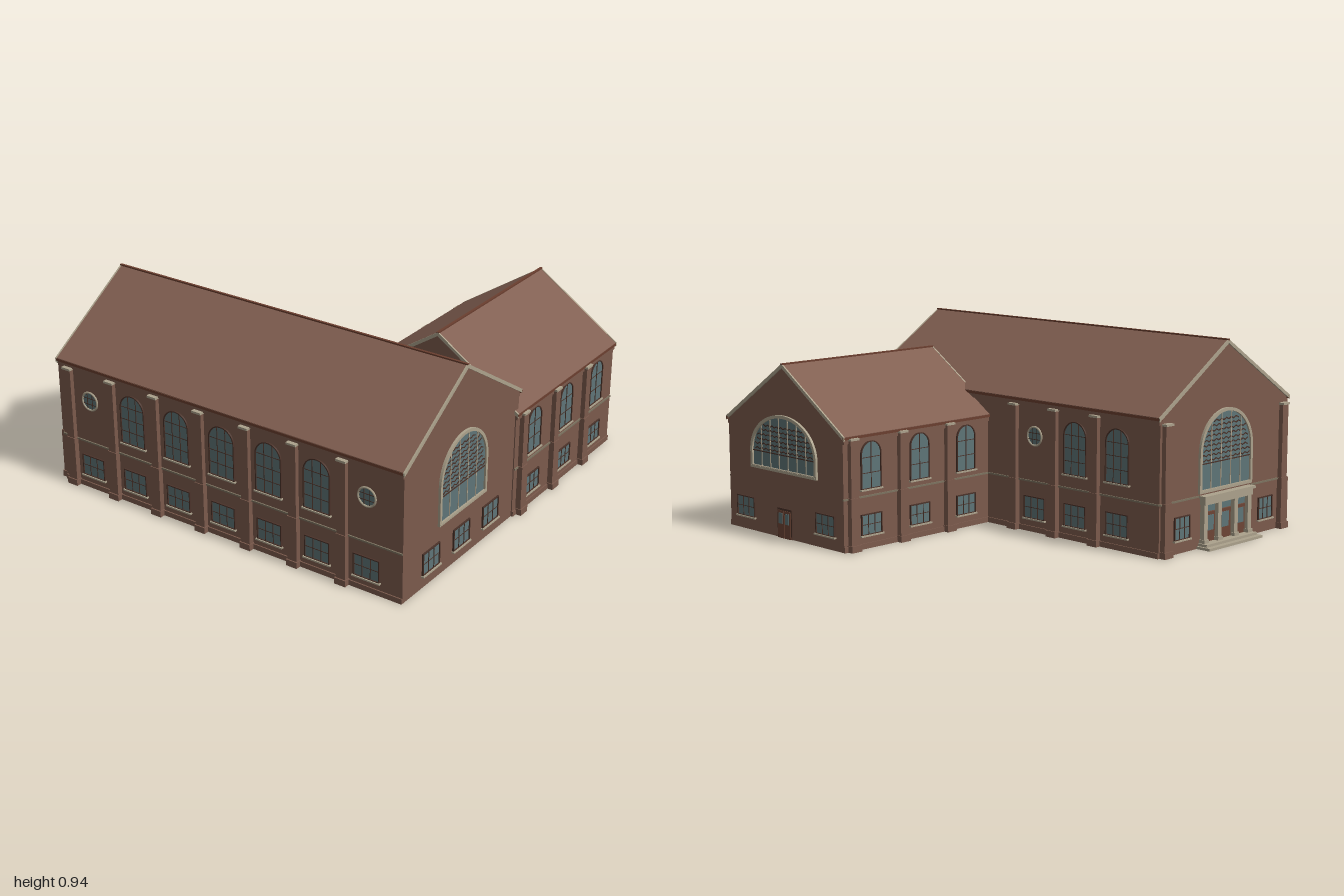
import * as THREE from 'three';

const mat = (name, color) => {
  const m = new THREE.MeshStandardMaterial({ color });
  m.name = name;
  return m;
};

export function createModel() {
  const M = {
    brick: mat('brick', 0x7b5a4c),
    roof: mat('roof', 0x805e50),
    frame: mat('frame', 0x4a3229),
    ridge: mat('ridge', 0x6b3f2f),
    stone: mat('stone', 0xaca28c),
    band: mat('band', 0x7d7360),
    glass: mat('glass', 0x5e7477),
    door: mat('door', 0x6d4535),
  };
  const root = new THREE.Group();
  root.name = 'hall';

  const add = (parent, name, geo, material, x = 0, y = 0, z = 0) => {
    const m = new THREE.Mesh(geo, material);
    m.name = name;
    m.position.set(x, y, z);
    parent.add(m);
    return m;
  };
  // box standing on y, with its back on z
  const box = (parent, name, material, w, h, d, x, y, z = 0) =>
    add(parent, name, new THREE.BoxGeometry(w, h, d), material, x, y + h / 2, z + d / 2);
  const extrude = (shape, depth) =>
    new THREE.ExtrudeGeometry(shape, { depth, bevelEnabled: false, curveSegments: 20 });
  const poly = (pts) => new THREE.Shape(pts.map(([x, y]) => new THREE.Vector2(x, y)));

  // ---- gabled blocks, running along local z ----
  function block(name, half, eave, top, length, over) {
    const g = new THREE.Group();
    g.name = name;
    const rise = top - eave;
    const chevron = (h, lift, t) => {
      const e = eave - (rise / half) * (h - half) + lift, r = top + lift;
      return poly([[-h, e - t], [0, r - t], [h, e - t], [h, e], [0, r], [-h, e]]);
    };
    add(g, 'walls', extrude(poly([[-half, 0], [half, 0], [half, eave - 0.012], [0, top - 0.012], [-half, eave - 0.012]]), length), M.brick);
    add(g, 'roof', extrude(chevron(half + 0.012, 0, 0.014), length + 2 * over - 0.006), M.roof, 0, 0, -over + 0.003);
    // stone rakes on both gables
    for (const z of [-over, length + over - 0.008])
      add(g, 'gableTrim', extrude(chevron(half + 0.014, 0.001, 0.018), 0.008), M.stone, 0, 0, z);
    box(g, 'ridgeCap', M.ridge, 0.012, 0.008, length + 2 * over, 0, top - 0.005, -over);
    for (const s of [-1, 1]) {
      box(g, 'gutter', M.ridge, 0.014, 0.012, length + 2 * over, s * (half + 0.007), eave - 0.022, -over);
      box(g, 'cornice', M.brick, 0.01, 0.02, length, s * (half + 0.003), eave - 0.042, 0);
      box(g, 'plinth', M.brick, 0.012, 0.025, length, s * half, 0, 0);
    }
    root.add(g);
    return g;
  }
  const hall = block('mainHall', 0.46, 0.637, 0.932, 1.89, 0.01);
  hall.rotation.y = Math.PI / 2;
  hall.position.set(-0.925, 0, 0.437);
  const wing = block('wing', 0.415, 0.533, 0.81, 0.925, 0.007);
  wing.position.set(0.555, 0, -0.922);

  // ---- facade parts: x along the wall, y up, z outward ----
  const facade = (name, x, z, turn) => {
    const g = new THREE.Group();
    g.name = name;
    g.position.set(x, 0, z);
    g.rotation.y = turn * Math.PI / 2;
    root.add(g);
    return g;
  };
  const archShape = (w, h, rise, grow = 0) => {
    const a = w / 2 + grow, s = new THREE.Shape();
    s.moveTo(-a, -grow);
    s.lineTo(a, -grow);
    s.lineTo(a, h - rise);
    if (rise > 0) s.absellipse(0, h - rise, a, rise + grow, 0, Math.PI, false);
    else { s.lineTo(a, h + grow); s.lineTo(-a, h + grow); }
    s.closePath();
    return s;
  };
  // half width of an arch at height y, and its height at offset u
  const halfAt = (w, h, r, y) => y <= h - r ? w / 2 : w / 2 * Math.sqrt(Math.max(0, 1 - ((y - h + r) / r) ** 2));
  const heightAt = (w, h, r, u) => h - r + r * Math.sqrt(Math.max(0, 1 - (2 * u / w) ** 2));

  function pane(parent, name, x, y, w, h, rise, cols, rows, o = {}) {
    const g = new THREE.Group();
    g.name = name;
    g.position.set(x, y, 0);
    parent.add(g);
    const t = o.trim ?? 0.004, bar = o.bar ?? 0.003;
    add(g, 'glass', new THREE.ShapeGeometry(archShape(w, h, rise), 20), M.glass, 0, 0, 0.003);
    const rim = archShape(w, h, rise, t);
    rim.holes.push(archShape(w, h, rise, -0.001));
    add(g, 'surround', extrude(rim, o.trim ? 0.012 : 0.008), o.trim ? M.stone : M.frame);
    for (let i = 1; i < cols; i++) {
      const u = -w / 2 + w * i / cols;
      box(g, 'mullion', o.trim ? M.stone : M.frame, bar, heightAt(w, h, rise, u), 0.006, u, 0);
    }
    for (let j = 1; j < rows; j++) {
      const v = h * j / rows;
      box(g, 'glazingBar', M.frame, 2 * halfAt(w, h, rise, v), 0.003, 0.005, 0, v - 0.0015);
    }
    if (o.sill !== false) box(g, 'sill', M.stone, w + 0.018, 0.007, 0.014, 0, -0.009);
    return g;
  }
  const lowWindow = (p, x, w = 0.125, h = 0.1) => pane(p, 'lowerWindow', x, 0.065, w, h, 0, 3, 2);

  // large gable window with wavy tracery in its upper half
  function greatWindow(p, x, y, w, h, rise, cols, from) {
    const g = pane(p, 'greatWindow', x, y, w, h, rise, cols, 1, { trim: 0.014, bar: 0.005 });
    const step = w / cols / 4;
    for (let v = from, row = 0; v < h - 0.03; v += 0.022, row++)
      for (let i = 0; i < cols * 4; i++) {
        const u = -w / 2 + step * (i + 0.5);
        if (Math.abs(u) + step / 2 > halfAt(w, h, rise, v + 0.01)) continue;
        const b = box(g, 'tracery', M.frame, step * 1.15, 0.005, 0.005, u, v);
        b.rotation.z = (i + row) % 2 ? 0.45 : -0.45;
      }
    box(g, 'transom', M.frame, w, 0.005, 0.006, 0, from - 0.014);
  }
  function roundWindow(p, x, y, r) {
    const g = new THREE.Group();
    g.name = 'roundWindow';
    g.position.set(x, y, 0);
    p.add(g);
    add(g, 'glass', new THREE.CircleGeometry(r, 28), M.glass, 0, 0, 0.003);
    add(g, 'surround', new THREE.TorusGeometry(r, 0.005, 6, 28), M.stone, 0, 0, 0.003);
    for (const u of [-r / 3, r / 3]) {
      const l = 2 * Math.sqrt(r * r - u * u);
      box(g, 'mullion', M.frame, 0.003, l, 0.005, u, -l / 2);
      box(g, 'glazingBar', M.frame, l, 0.003, 0.005, 0, u - 0.0015);
    }
  }
  function pilaster(p, x, h) {
    const g = new THREE.Group();
    g.name = 'pilaster';
    g.position.x = x;
    p.add(g);
    box(g, 'foot', M.brick, 0.058, 0.03, 0.032, 0, 0);
    box(g, 'lowerShaft', M.brick, 0.05, 0.215, 0.026, 0, 0.03);
    box(g, 'shaft', M.brick, 0.042, h - 0.255, 0.022, 0, 0.245);
    box(g, 'cap', M.stone, 0.05, 0.01, 0.028, 0, h - 0.01);
  }
  const band = (p, x0, x1) => box(p, 'stringCourse', M.band, x1 - x0, 0.008, 0.006, (x0 + x1) / 2, 0.236);

  // front of the hall
  const front = facade('frontFacade', 0, 0.897, 0);
  band(front, -0.925, 0.965);
  for (let i = 0; i < 7; i++) {
    const x = -0.745 + i * 0.255;
    pilaster(front, -0.863 + i * 0.255, 0.6);
    lowWindow(front, x);
    if (i % 6) pane(front, 'archedWindow', x, 0.307, 0.132, 0.242, 0.067, 3, 4);
    else roundWindow(front, x, 0.455, 0.044);
  }

  // back of the hall, beside the wing (x runs backwards)
  const back = facade('backFacade', 0, -0.023, 2);
  band(back, -0.14, 0.925);
  for (let i = 0; i < 3; i++) {
    const x = 0.172 + i * 0.255;
    pilaster(back, 0.045 + i * 0.255, 0.6);
    lowWindow(back, x);
    if (i) pane(back, 'archedWindow', x, 0.307, 0.132, 0.242, 0.067, 3, 4);
    else roundWindow(back, x, 0.455, 0.044);
  }

  // left gable of the hall
  const leftGable = facade('leftGable', 0.965, 0.44, 1);
  greatWindow(leftGable, 0, 0.26, 0.355, 0.35, 0.18, 5, 0.13);
  for (const x of [-0.243, 0, 0.243]) lowWindow(leftGable, x);

  // entrance gable
  const entry = facade('entranceGable', -0.925, 0.437, -1);
  greatWindow(entry, 0, 0.265, 0.355, 0.345, 0.18, 5, 0.13);
  for (const s of [-1, 1]) {
    pilaster(entry, s * 0.425, 0.6);
    lowWindow(entry, s * 0.305, 0.1);
    band(entry, s < 0 ? -0.46 : 0.19, s < 0 ? -0.19 : 0.46);
  }
  const portal = new THREE.Group();
  portal.name = 'portal';
  entry.add(portal);
  box(portal, 'lowerStep', M.stone, 0.39, 0.012, 0.075, 0, 0);
  box(portal, 'upperStep', M.stone, 0.37, 0.012, 0.05, 0, 0.012);
  box(portal, 'entablature', M.stone, 0.35, 0.03, 0.03, 0, 0.2);
  box(portal, 'cornice', M.stone, 0.37, 0.012, 0.038, 0, 0.23);
  for (const x of [-0.16, -0.06, 0.06, 0.16]) {
    box(portal, 'pier', M.stone, 0.026, 0.176, 0.024, x, 0.024);
    box(portal, 'pierFoot', M.stone, 0.034, 0.016, 0.03, x, 0.024);
  }
  for (const x of [-0.11, 0, 0.11]) {
    box(portal, 'door', M.door, 0.085, 0.135, 0.006, x, 0.024);
    box(portal, 'doorGlass', M.glass, 0.05, 0.07, 0.003, x, 0.075, 0.006);
    box(portal, 'fanlight', M.glass, 0.085, 0.036, 0.005, x, 0.163);
  }

  // the two long sides of the wing
  const sides = [facade('wingLeftSide', 0.97, -0.46, 1), facade('wingRightSide', 0.14, -0.467, -1)];
  sides.forEach((side, k) => {
    band(side, -0.46, k ? 0.44 : 0.46);
    for (let i = -1; i <= 1; i++) {
      pilaster(side, i * 0.293 - 0.113, 0.515);
      lowWindow(side, i * 0.295, 0.115, 0.09);
      pane(side, 'archedWindow', i * 0.295, 0.275, 0.112, 0.212, 0.056, 2, 3);
    }
  });

  // back gable of the wing
  const wingGable = facade('wingGable', 0.555, -0.922, 2);
  greatWindow(wingGable, 0, 0.32, 0.45, 0.24, 0.17, 7, 0.08);
  for (const s of [-1, 1]) lowWindow(wingGable, s * 0.29, 0.125, 0.09);
  box(wingGable, 'doorFrame', M.frame, 0.105, 0.14, 0.006, 0, 0);
  for (const s of [-1, 1]) {
    box(wingGable, 'backDoor', M.door, 0.044, 0.13, 0.009, s * 0.024, 0);
    box(wingGable, 'doorGlass', M.glass, 0.026, 0.05, 0.003, s * 0.024, 0.068, 0.009);
  }

  return root;
}
